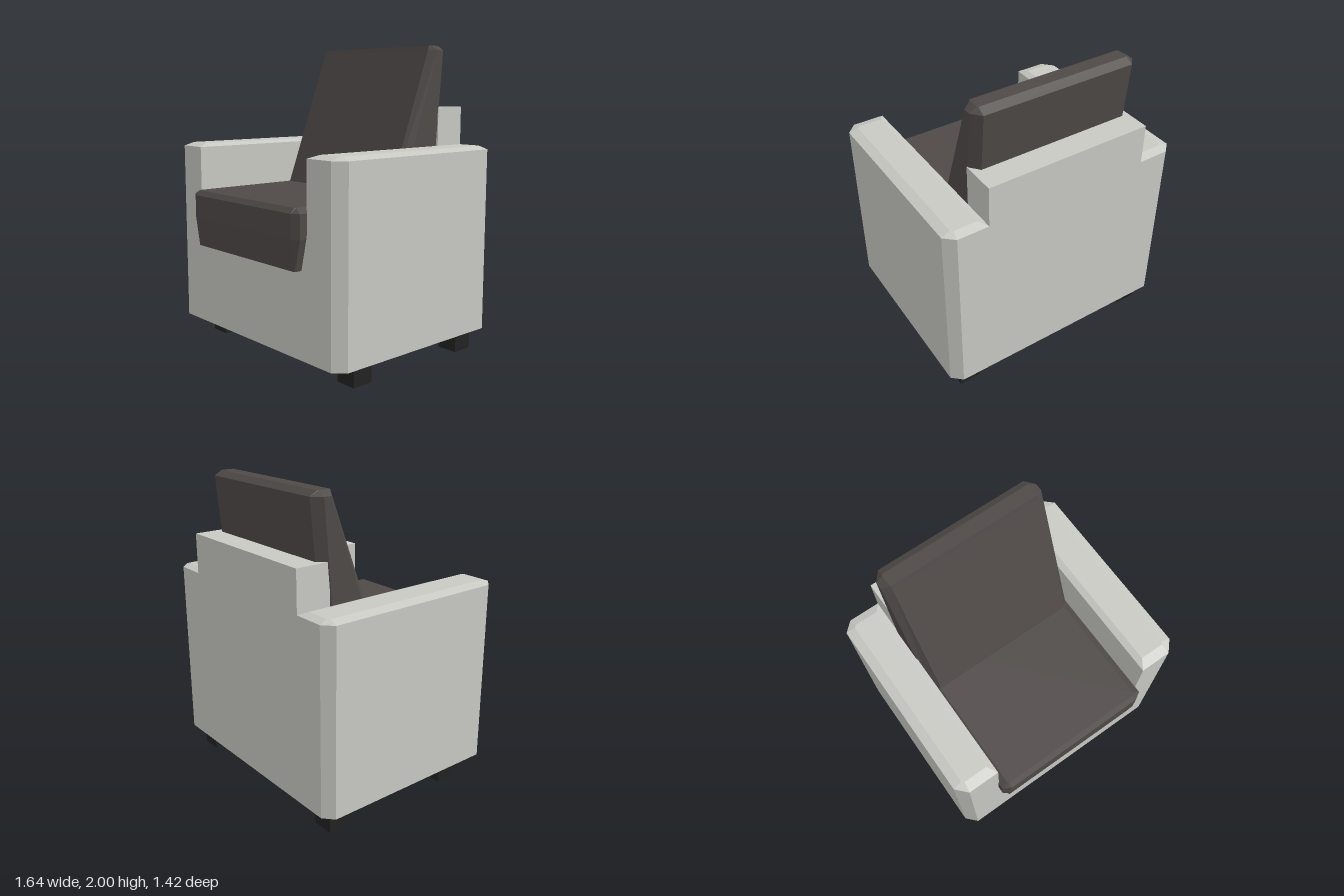
import * as THREE from 'three';

const mat = (name, color) => {
  const m = new THREE.MeshStandardMaterial({ color });
  m.name = name;
  return m;
};

// Skins a stack of convex rings {y, pts: [[x, z], ...]}, clockwise seen from above, with flat faces.
function loft(rings) {
  const v = [];
  const at = (r, i) => {
    const p = r.pts[i % r.pts.length];
    return [p[0], r.y, p[1]];
  };
  const tri = (a, b, c) => v.push(...a, ...b, ...c);
  const n = rings[0].pts.length;
  for (let k = 0; k < rings.length - 1; k++) {
    const lo = rings[k], hi = rings[k + 1];
    for (let i = 0; i < n; i++) {
      tri(at(lo, i + 1), at(lo, i), at(hi, i));
      tri(at(lo, i + 1), at(hi, i), at(hi, i + 1));
    }
  }
  const bottom = rings[0], top = rings[rings.length - 1];
  for (let i = 1; i < n - 1; i++) {
    tri(at(bottom, 0), at(bottom, i), at(bottom, i + 1));
    tri(at(top, 0), at(top, i + 1), at(top, i));
  }
  const g = new THREE.BufferGeometry();
  g.setAttribute('position', new THREE.Float32BufferAttribute(v, 3));
  g.computeVertexNormals();
  return g;
}

// Cushion outline: front and back flats of half-width fx, sides at half-width hw
function cushionRing(y, hw, zf, zb, df, db) {
  const fx = 0.5, c = -0.005;
  return {
    y,
    pts: [
      [c - fx, zb], [c + fx, zb], [c + hw, zb + db], [c + hw, zf - df],
      [c + fx, zf], [c - fx, zf], [c - hw, zf - df], [c - hw, zb + db],
    ],
  };
}

export function createModel() {
  const group = new THREE.Group();
  const fabric = mat('light fabric', 0xc9c9c4);
  const cushion = mat('dark cushion', 0x4f4a48);
  const wood = mat('black leg', 0x222222);

  const add = (name, geometry, material) => {
    const mesh = new THREE.Mesh(geometry, material);
    mesh.name = name;
    group.add(mesh);
    return mesh;
  };
  const box = (name, material, x0, x1, y0, y1, z0, z1) =>
    add(name, new THREE.BoxGeometry(x1 - x0, y1 - y0, z1 - z0), material)
      .position.set((x0 + x1) / 2, (y0 + y1) / 2, (z0 + z1) / 2);

  // Arms with chamfered outer corners and a shallow bevelled top
  const armSide = [[0.55, -0.71], [0.755, -0.71], [0.82, -0.65], [0.82, 0.565], [0.755, 0.635], [0.55, 0.635]];
  const armTop = [[0.59, -0.655], [0.745, -0.655], [0.76, -0.64], [0.76, 0.555], [0.745, 0.57], [0.59, 0.57]];
  for (const side of [1, -1]) {
    const flip = (pts) => side > 0 ? pts : pts.map(([x, z]) => [-x, z]).reverse();
    add(side > 0 ? 'leftArm' : 'rightArm', loft([
      { y: 0.15, pts: flip(armSide) },
      { y: 1.34, pts: flip(armSide) },
      { y: 1.36, pts: flip(armTop) },
    ]), fabric);
  }

  // Base under the seat and the back panel
  box('seatBase', fabric, -0.55, 0.55, 0.15, 0.9, -0.48, 0.635);
  box('backPanel', fabric, -0.55, 0.55, 0.15, 1.605, -0.71, -0.48);

  // Seat cushion overhanging the front
  add('seatCushion', loft([
    cushionRing(0.69, 0.505, 0.685, -0.45, 0.01, 0.01),
    cushionRing(0.88, 0.55, 0.71, -0.45, 0.03, 0.03),
    cushionRing(1.03, 0.55, 0.71, -0.45, 0.03, 0.03),
    cushionRing(1.06, 0.505, 0.68, -0.45, 0.01, 0.01),
  ]), cushion);

  // Reclined back cushion, tapering towards the top
  add('backCushion', loft([
    cushionRing(0.95, 0.55, -0.045, -0.49, 0.06, 0.06),
    cushionRing(1.97, 0.55, -0.43, -0.58, 0.04, 0.06),
    cushionRing(2.0, 0.505, -0.44, -0.53, 0.01, 0.01),
  ]), cushion);

  // Four square legs
  for (const x of [-0.662, 0.662])
    for (const z of [0.365, -0.555])
      box('leg', wood, x - 0.072, x + 0.072, 0, 0.15, z - 0.072, z + 0.072);

  return group;
}
